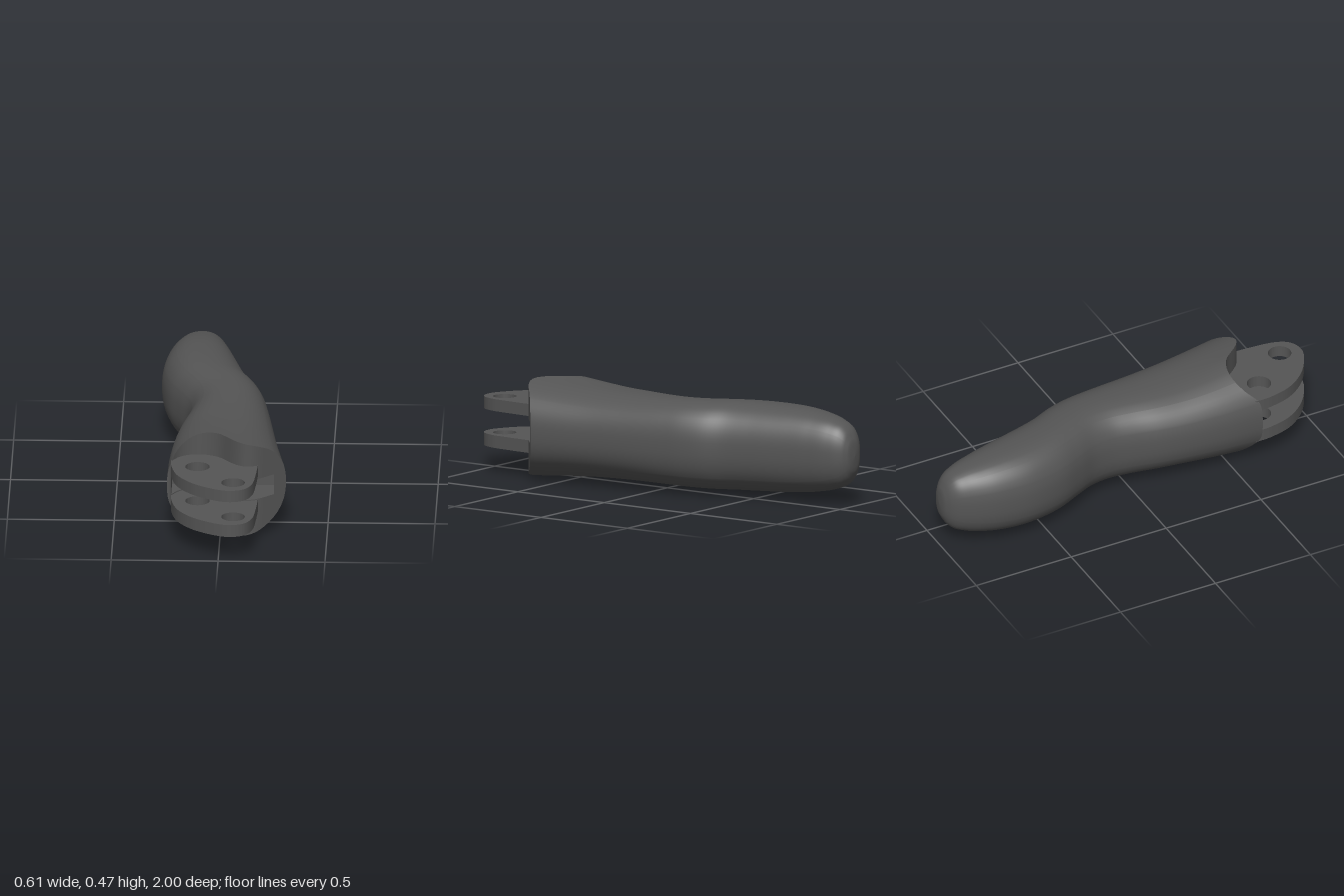
import * as THREE from 'three';
import { toCreasedNormals } from 'three/addons/utils/BufferGeometryUtils.js';

const MID = 0.238;   // height of the centre line
const POW = 2.4;     // superellipse exponent of the cross-sections
const SLOT = 0.05;   // half height of the front pockets
const FLOOR = 0.5;   // z of the pocket floors
const POCKETS = [[-0.23, -0.15], [-0.1, 0.25]];

// Smooth lookup through rows of [key, ...values]
function lookup(rows) {
  const n = rows[0].length - 1;
  const curve = new THREE.CubicInterpolant(rows.map(r => r[0]), rows.flatMap(r => r.slice(1)), n);
  return t => [...curve.evaluate(t)];
}

// z along the finger: smallest x, largest x, half height
const section = lookup([
  [-1, -0.12, -0.12, 0], [-0.997, -0.147, -0.092, 0.045], [-0.985, -0.178, -0.065, 0.09],
  [-0.96, -0.21, -0.04, 0.13], [-0.9, -0.247, -0.01, 0.163], [-0.8, -0.285, 0.02, 0.187],
  [-0.7, -0.304, 0.045, 0.2], [-0.6, -0.309, 0.07, 0.206], [-0.5, -0.296, 0.095, 0.209],
  [-0.4, -0.268, 0.125, 0.21], [-0.3, -0.222, 0.168, 0.21], [-0.2, -0.178, 0.195, 0.208],
  [-0.1, -0.166, 0.211, 0.206], [0, -0.18, 0.225, 0.205], [0.15, -0.214, 0.244, 0.206],
  [0.3, -0.236, 0.263, 0.21], [0.45, -0.248, 0.284, 0.221], [0.6, -0.25, 0.305, 0.236],
]);

// wavy front edge: z for each x
const frontZ = lookup([
  [-0.25, 0.64], [-0.235, 0.635], [-0.2, 0.582], [-0.15, 0.548], [-0.1, 0.54], [-0.05, 0.55],
  [0, 0.58], [0.05, 0.642], [0.09, 0.678], [0.13, 0.69], [0.18, 0.672], [0.24, 0.622], [0.305, 0.57],
]);

// Normalised x positions shared by the skin and the front face, with the pocket edges included
const [X0, X1, H] = section(0.6);
const CX = (X0 + X1) / 2, RX = (X1 - X0) / 2;
const columns = [];
for (let i = 0; i <= 36; i++) columns.push(-Math.cos(i / 36 * Math.PI));
POCKETS.flat().forEach(x => columns.push((x - CX) / RX));
columns.sort((a, b) => a - b);
const rise = u => Math.pow(Math.max(0, 1 - Math.pow(Math.abs(u), POW)), 1 / POW);

// Skin lofted from fingertip to front edge
function fingerSkin() {
  const ring = [
    ...columns.slice().reverse().map(u => [u, rise(u)]),
    ...columns.slice(1, -1).map(u => [u, -rise(u)]),
  ];
  const n = ring.length, steps = 90, pos = [], index = [];
  for (let j = 0; j <= steps; j++) {
    const z = -1 + 1.6 * Math.pow(j / steps, 1.6);
    const [a, b, h] = section(z);
    for (const [u, v] of ring) {
      const x = (a + b) / 2 + u * (b - a) / 2;
      // the last stretch bends to meet the wavy front edge
      const blend = Math.max(0, (z - 0.25) / 0.35);
      const zz = z > 0.25 ? 0.25 + blend * (frontZ(CX + RX * u)[0] - 0.25) : z;
      pos.push(x, MID + v * h, zz);
    }
  }
  for (let j = 0; j < steps; j++) {
    for (let i = 0; i < n; i++) {
      const a = j * n + i, b = j * n + (i + 1) % n;
      index.push(a, b, b + n, a, b + n, a + n);
    }
  }
  const g = new THREE.BufferGeometry();
  g.setAttribute('position', new THREE.Float32BufferAttribute(pos, 3));
  g.setIndex(index);
  g.computeVertexNormals();
  return g;
}

// Front face in columns, leaving out the pockets, which get walls and a floor
function frontFace() {
  const pos = [];
  const quad = (a, b, c, d) => pos.push(...a, ...b, ...c, ...a, ...c, ...d);
  const lo = MID - SLOT, hi = MID + SLOT;
  for (let i = 0; i < columns.length - 1; i++) {
    const [p, q] = [columns[i], columns[i + 1]].map(u => {
      const h = rise(u) * H, s = Math.min(h, SLOT);
      return { x: CX + RX * u, z: frontZ(CX + RX * u)[0], y: [-h, -s, s, h].map(v => MID + v) };
    });
    const xm = (p.x + q.x) / 2;
    const open = POCKETS.some(([a, b]) => xm > a && xm < b);
    for (let k = 0; k < 3; k++) {
      if (k === 1 && open) continue;
      quad([p.x, p.y[k], p.z], [q.x, q.y[k], q.z], [q.x, q.y[k + 1], q.z], [p.x, p.y[k + 1], p.z]);
    }
    if (open) {
      quad([p.x, lo, p.z], [p.x, lo, FLOOR], [q.x, lo, FLOOR], [q.x, lo, q.z].slice());
      quad([p.x, hi, FLOOR], [p.x, hi, p.z], [q.x, hi, q.z], [q.x, hi, FLOOR]);
      quad([p.x, lo, FLOOR], [q.x, lo, FLOOR], [q.x, hi, FLOOR], [p.x, hi, FLOOR]);
    }
  }
  for (const [a, b] of POCKETS) {
    const za = frontZ(a)[0], zb = frontZ(b)[0];
    quad([a, lo, za], [a, hi, za], [a, hi, FLOOR], [a, lo, FLOOR]);
    quad([b, lo, FLOOR], [b, hi, FLOOR], [b, hi, zb], [b, lo, zb]);
  }
  const g = new THREE.BufferGeometry();
  g.setAttribute('position', new THREE.Float32BufferAttribute(pos, 3));
  return toCreasedNormals(g, 0.5);
}

// Flat hinge plate with two pin holes, drawn in x and z
function hingePlate(thickness) {
  const s = new THREE.Shape();
  s.moveTo(-0.2, 0.52);
  s.lineTo(-0.23, 0.62);
  s.splineThru([[-0.226, 0.7], [-0.195, 0.81], [-0.125, 0.905], [-0.03, 0.972], [0.05, 0.998],
    [0.12, 0.975], [0.157, 0.905], [0.17, 0.79], [0.177, 0.66]].map(p => new THREE.Vector2(...p)));
  s.lineTo(0.16, 0.52);
  s.closePath();
  for (const [x, z, r] of [[-0.105, 0.695, 0.057], [0.067, 0.893, 0.055]]) {
    s.holes.push(new THREE.Path().absarc(x, z, r, 0, Math.PI * 2, true));
  }
  const g = new THREE.ExtrudeGeometry(s, { depth: thickness, bevelEnabled: false, curveSegments: 32 });
  g.rotateX(Math.PI / 2);
  return toCreasedNormals(g, 0.5);
}

export function createModel() {
  const model = new THREE.Group();
  model.name = 'fingerSegment';
  const material = new THREE.MeshStandardMaterial({ color: 0x555555, side: THREE.DoubleSide });
  const add = (name, geometry, y = 0) => {
    const mesh = new THREE.Mesh(geometry, material);
    mesh.name = name;
    mesh.position.y = y;
    model.add(mesh);
  };
  add('fingerBody', fingerSkin());
  add('frontFace', frontFace());
  add('upperHingePlate', hingePlate(0.057), 0.355);
  add('lowerHingePlate', hingePlate(0.06), 0.183);
  return model;
}
